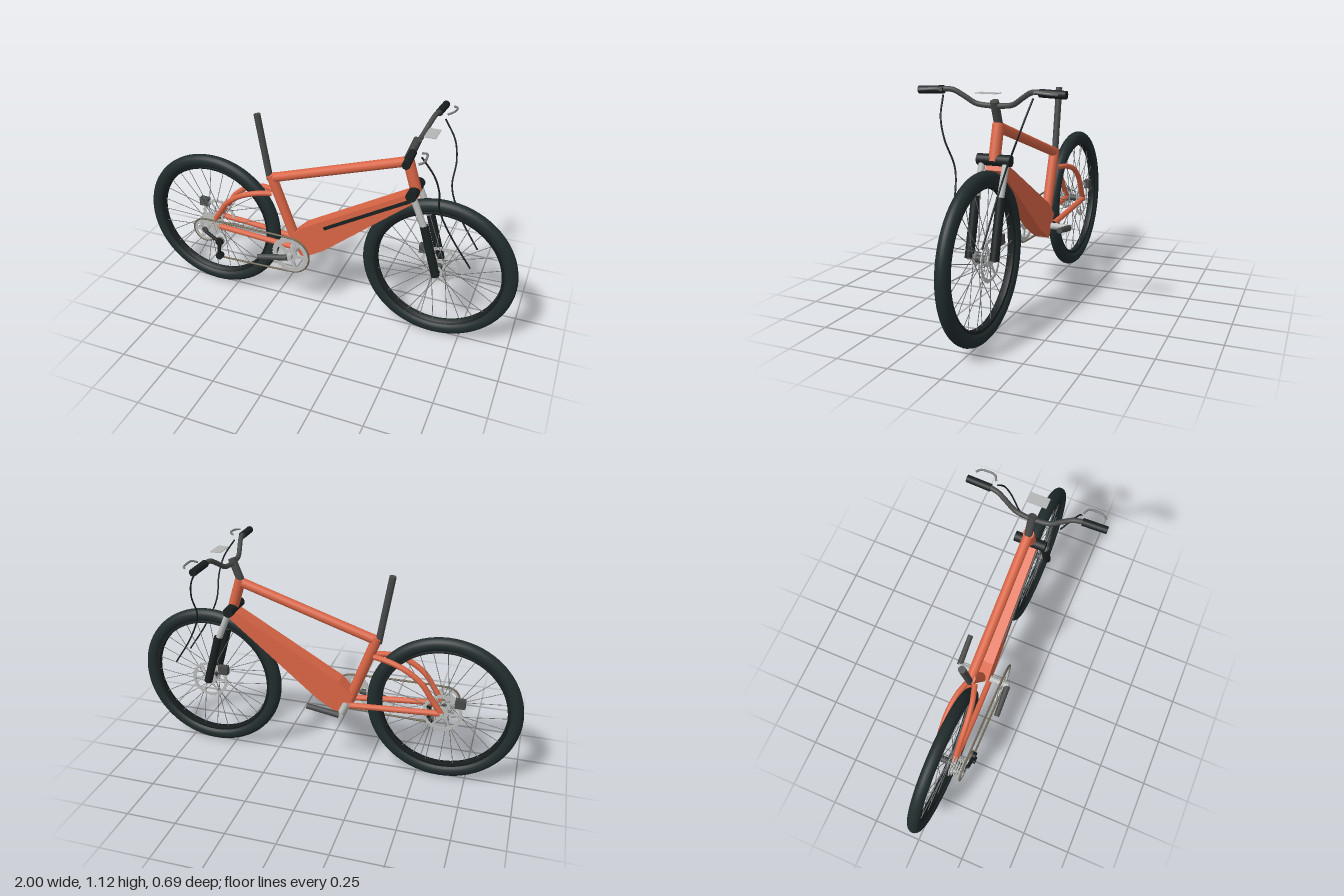
import * as THREE from 'three';

const mat = (name, color, extra = {}) => Object.assign(new THREE.MeshStandardMaterial({ color, ...extra }), { name });
const V = (x, y, z) => new THREE.Vector3(x, y, z);

export function createModel() {
  const paint = mat('orange paint', 0xd96545);
  const rubber = mat('tyre rubber', 0x212c2d);
  const black = mat('black', 0x1a2021);
  const dark = mat('dark grey metal', 0x474848);
  const silver = mat('silver metal', 0xb9bbb9);
  const steel = mat('spoke steel', 0x77797a);
  const chainMetal = mat('chain metal', 0x6f6653);
  const plate = mat('display grey', 0xb4b6b6, { side: THREE.DoubleSide });

  const bike = new THREE.Group();
  bike.name = 'bicycle';

  function add(parent, name, geometry, material, x = 0, y = 0, z = 0) {
    const m = new THREE.Mesh(geometry, material);
    m.name = name;
    m.position.set(x, y, z);
    parent.add(m);
    return m;
  }
  // Straight round bar between two points
  function rod(parent, name, a, b, r, material, r2 = r, sides = 20) {
    const d = b.clone().sub(a);
    const m = add(parent, name, new THREE.CylinderGeometry(r2, r, d.length(), sides), material);
    m.position.copy(a).add(b).multiplyScalar(0.5);
    m.quaternion.setFromUnitVectors(V(0, 1, 0), d.normalize());
    return m;
  }
  // Bent round tube through points
  function tube(parent, name, pts, r, material, closed = false, segments = 48) {
    const curve = new THREE.CatmullRomCurve3(pts.map(p => V(...p)), closed, 'centripetal');
    return add(parent, name, new THREE.TubeGeometry(curve, segments, r, 12, closed), material);
  }
  // Flat toothed wheel with windows between its arms
  function toothedDisc(outer, inner, hub, arms, teeth, thick, armWidth) {
    const s = new THREE.Shape();
    const n = teeth * 4;
    for (let i = 0; i < n; i++) {
      const a = (i / n) * Math.PI * 2, r = i % 4 < 2 ? outer : outer * 0.95;
      if (i) s.lineTo(r * Math.cos(a), r * Math.sin(a));
      else s.moveTo(r, 0);
    }
    s.closePath();
    for (let i = 0; i < arms; i++) {
      const a0 = (i / arms) * Math.PI * 2, a1 = ((i + 1) / arms) * Math.PI * 2;
      const go = armWidth / 2 / inner, gi = armWidth / 2 / hub;
      const h = new THREE.Path();
      h.absarc(0, 0, inner, a0 + go, a1 - go, false);
      h.absarc(0, 0, hub, a1 - gi, a0 + gi, true);
      h.closePath();
      s.holes.push(h);
    }
    return new THREE.ExtrudeGeometry(s, { depth: thick, bevelEnabled: false, curveSegments: 10 })
      .translate(0, 0, -thick / 2);
  }

  // Wheels: tyre, rim, hub, crossed spokes and brake disc
  const AXLE_Y = 0.385;
  function wheel(name, x) {
    const g = new THREE.Group();
    g.name = name;
    g.position.set(x, AXLE_Y, 0);
    const tyre = [], rim = [[0.31, -0.016], [0.335, -0.02], [0.335, 0.02], [0.31, 0.016], [0.31, -0.016]];
    for (let i = 0; i <= 20; i++) {
      const a = (i / 20) * Math.PI * 2;
      tyre.push(new THREE.Vector2(0.3515 + 0.0335 * Math.cos(a), 0.031 * Math.sin(a)));
    }
    add(g, 'tyre', new THREE.LatheGeometry(tyre, 72).rotateX(Math.PI / 2), rubber);
    add(g, 'rim', new THREE.LatheGeometry(rim.map(p => new THREE.Vector2(...p)), 72).rotateX(Math.PI / 2), black);
    rod(g, 'hub', V(0, 0, -0.04), V(0, 0, 0.04), 0.017, dark);
    rod(g, 'axle', V(0, 0, -0.068), V(0, 0, 0.068), 0.009, silver);
    for (const s of [-1, 1]) {
      rod(g, 'hubFlange', V(0, 0, s * 0.026), V(0, 0, s * 0.03), 0.03, silver);
      for (let i = 0; i < 14; i++) {
        const a = ((i + (s > 0 ? 0.5 : 0)) / 14) * Math.PI * 2;
        const b = a + (i % 2 ? 1.2 : -1.2);
        rod(g, 'spoke', V(0.027 * Math.cos(b), 0.027 * Math.sin(b), s * 0.028),
          V(0.314 * Math.cos(a), 0.314 * Math.sin(a), s * 0.004), 0.0018, steel, 0.0018, 5);
      }
    }
    add(g, 'brakeDisc', toothedDisc(0.1, 0.082, 0.03, 6, 24, 0.005, 0.008), silver, 0, 0, -0.04);
    add(g, 'brakeCaliper', new THREE.BoxGeometry(0.05, 0.045, 0.03), dark, -0.085, 0.07, -0.047);
    bike.add(g);
  }
  wheel('rearWheel', -0.615);
  wheel('frontWheel', 0.615);

  // Frame
  rod(bike, 'topTube', V(-0.265, 0.712, 0), V(0.43, 0.938, 0), 0.024, paint);
  rod(bike, 'seatTube', V(-0.272, 0.728, 0), V(-0.133, 0.345, 0), 0.026, paint);
  rod(bike, 'headTube', V(0.478, 0.79, 0), V(0.428, 0.953, 0), 0.027, paint);
  rod(bike, 'seatPost', V(-0.278, 0.70, 0), V(-0.335, 1.047, 0), 0.017, dark);
  const downShape = new THREE.Shape([[0.465, 0.795], [-0.09, 0.475], [-0.165, 0.4], [-0.09, 0.292],
    [0.03, 0.367], [0.488, 0.752]].map(p => new THREE.Vector2(...p)));
  add(bike, 'downTube', new THREE.ExtrudeGeometry(downShape, { depth: 0.08, bevelEnabled: false }), paint, 0, 0, -0.04);
  const strip = add(bike, 'batteryStrip', new THREE.BoxGeometry(0.5, 0.016, 0.008), black, 0.247, 0.628, 0.043);
  strip.rotation.z = Math.atan2(0.255, 0.435);

  // Rear stays
  for (const s of [-1, 1]) {
    tube(bike, 'seatStay', [[-0.262, 0.63, s * 0.018], [-0.34, 0.625, s * 0.04], [-0.43, 0.595, s * 0.052],
      [-0.51, 0.535, s * 0.054], [-0.56, 0.46, s * 0.052], [-0.612, 0.385, s * 0.05]], 0.014, paint);
    tube(bike, 'chainStay', [[-0.615, 0.387, s * 0.05], [-0.4, 0.373, s * 0.05], [-0.15, 0.352, s * 0.042]], 0.015, paint);
  }

  // Suspension fork
  rod(bike, 'forkCrown', V(0.473, 0.797, -0.08), V(0.473, 0.797, 0.08), 0.026, black);
  for (const s of [-1, 1]) {
    rod(bike, 'forkStanchion', V(0.545, 0.63, s * 0.057), V(0.482, 0.78, s * 0.057), 0.016, silver);
    rod(bike, 'forkLower', V(0.617, 0.382, s * 0.06), V(0.542, 0.648, s * 0.06), 0.021, black);
  }

  // Cockpit: stem, bar, display, grips, levers and cables
  rod(bike, 'stem', V(0.428, 0.948, 0), V(0.468, 1.055, 0), 0.02, dark);
  const half = [[0.465, 1.035, 0.045], [0.47, 1.043, 0.09], [0.483, 1.075, 0.14], [0.495, 1.1, 0.185], [0.504, 1.103, 0.23]];
  tube(bike, 'handlebar', [...half.map(([x, y, z]) => [x, y, -z]).reverse(), ...half], 0.012, dark, false, 72);
  add(bike, 'display', new THREE.BoxGeometry(0.055, 0.003, 0.1), plate, 0.532, 1.095, 0);
  for (const s of [-1, 1]) {
    rod(bike, 'grip', V(0.504, 1.1, s * 0.225), V(0.51, 1.096, s * 0.345), 0.018, black);
    tube(bike, 'brakeLever', [[0.545, 1.1, s * 0.215], [0.568, 1.108, s * 0.23], [0.576, 1.106, s * 0.27],
      [0.572, 1.103, s * 0.305], [0.555, 1.1, s * 0.322]], 0.005, steel, false, 24);
    tube(bike, 'brakeCable', [[0.54, 1.08, s * 0.21], [0.598, 0.99, s * 0.193], [0.62, 0.9, s * 0.165],
      [0.62, 0.78, s * 0.118], [0.68, 0.64, s * 0.094], [0.78, 0.485, s * 0.083]], 0.004, black);
  }

  // Cranks and chainring
  const BX = -0.125, BY = 0.346;
  rod(bike, 'crankSpindle', V(BX, BY, -0.143), V(BX, BY, 0.143), 0.017, silver);
  for (const s of [-1, 1]) {
    rod(bike, 'crankArm', V(BX - s * 0.005, BY, s * 0.138), V(BX - s * 0.168, BY - s * 0.03, s * 0.146), 0.016, dark, 0.014);
  }
  add(bike, 'chainring', toothedDisc(0.102, 0.076, 0.036, 5, 36, 0.008, 0.018), silver, BX, BY, 0.11);

  // Cassette
  for (let i = 0; i < 5; i++) {
    add(bike, 'cassetteCog', toothedDisc(0.066 - i * 0.006, 0.05 - i * 0.004, 0.024, 5, 22 - i * 2, 0.004, 0.012),
      silver, -0.615, AXLE_Y, 0.05 + i * 0.012);
  }
  add(bike, 'driveCog', toothedDisc(0.064, 0.05, 0.025, 6, 22, 0.006, 0.01), silver, -0.615, AXLE_Y, 0.11);
  rod(bike, 'cassetteBody', V(-0.615, AXLE_Y, 0.04), V(-0.615, AXLE_Y, 0.116), 0.018, dark);

  // Chain loop around chainring, cog and tension wheels
  const loop = [];
  const arc = (x, y, r, from, to) => {
    for (let i = 0; i <= 10; i++) {
      const a = from + ((to - from) * i) / 10;
      loop.push([x + r * Math.cos(a), y + r * Math.sin(a), 0.11]);
    }
  };
  arc(BX, BY, 0.101, -Math.PI / 2, Math.PI / 2);
  arc(-0.615, AXLE_Y, 0.065, Math.PI / 2, Math.PI * 1.55);
  arc(-0.53, 0.335, 0.018, Math.PI * 0.6, -Math.PI * 0.3);
  arc(-0.535, 0.25, 0.018, Math.PI * 0.8, Math.PI * 1.55);
  tube(bike, 'chain', loop, 0.005, chainMetal, true, 260);

  // Rear derailleur
  rod(bike, 'derailleurHanger', V(-0.605, 0.38, 0.122), V(-0.53, 0.335, 0.125), 0.009, black);
  rod(bike, 'derailleurCage', V(-0.53, 0.345, 0.125), V(-0.535, 0.24, 0.125), 0.009, black);
  for (const [x, y] of [[-0.53, 0.335], [-0.535, 0.245]]) {
    rod(bike, 'tensionWheel', V(x, y, 0.105), V(x, y, 0.133), 0.019, black);
  }
  return bike;
}
